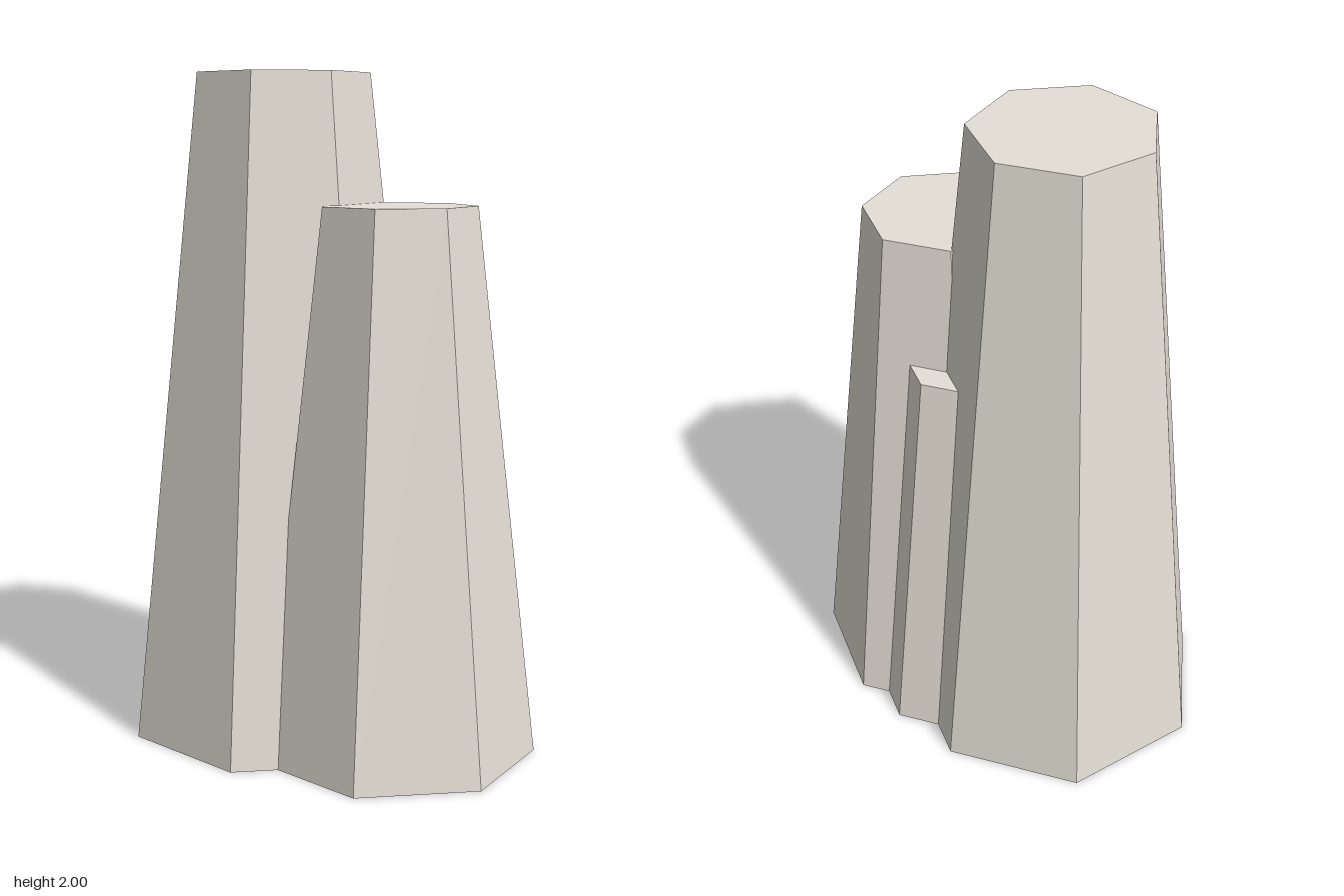
import * as THREE from 'three';

export function createModel() {
  const group = new THREE.Group();
  group.name = 'basaltColumns';

  const stone = new THREE.MeshStandardMaterial({ color: 0xe5e0d6, flatShading: true });
  stone.name = 'paleStone';

  // Tapered seven-sided columns, each with one corner pointing to the back
  const taper = 0.55;
  const columns = [
    { name: 'tallColumn', x: -0.178, z: 0.026, radius: 0.477, height: 2 },
    { name: 'mediumColumn', x: 0.231, z: -0.03, radius: 0.419, height: 1.62 },
    { name: 'shortColumn', x: 0.05, z: -0.119, radius: 0.338, height: 1.24 },
  ];

  for (const { name, x, z, radius, height } of columns) {
    const geometry = new THREE.CylinderGeometry(radius * taper, radius, height, 7, 1, false, Math.PI);
    const column = new THREE.Mesh(geometry, stone);
    column.name = name;
    column.position.set(x, height / 2, z);
    group.add(column);
  }

  return group;
}
